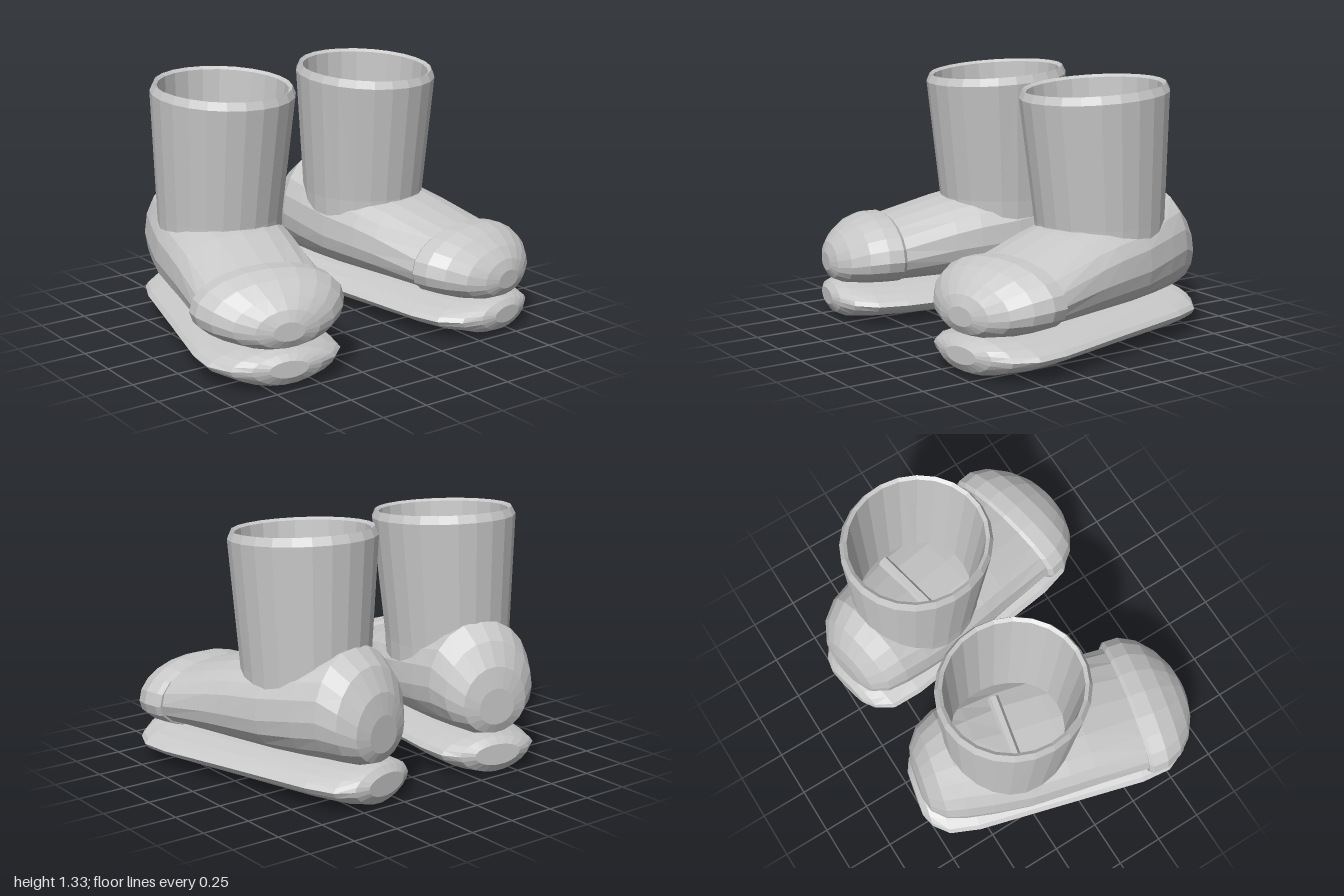
import * as THREE from 'three';

const SIDES = 20;
const TURN = 0.21; // each foot toes outwards

// Loft through cross-sections [z, halfWidth, bottom, top, squareness]
function loft(sections, midRatio = 0.45) {
  const pos = [], idx = [];
  const bend = (v, n) => Math.sign(v) * Math.pow(Math.abs(v), 2 / n);
  sections.forEach(([z, w, y0, y1, n]) => {
    const mid = y0 + (y1 - y0) * midRatio;
    for (let j = 0; j < SIDES; j++) {
      const a = (j / SIDES) * Math.PI * 2;
      const s = Math.sin(a), e = s > 0 ? n : Math.min(n, 2.2);
      pos.push(w * bend(Math.cos(a), e), mid + bend(s, e) * (s > 0 ? y1 - mid : mid - y0), z);
    }
  });
  const last = sections.length - 1;
  for (let i = 0; i < last; i++) {
    for (let j = 0; j < SIDES; j++) {
      const k = (j + 1) % SIDES, a = i * SIDES, b = a + SIDES;
      idx.push(a + j, a + k, b + j, a + k, b + k, b + j);
    }
  }
  // Close both ends
  for (let j = 1; j < SIDES - 1; j++) {
    const b = last * SIDES;
    idx.push(0, j + 1, j, b, b + j, b + j + 1);
  }
  const g = new THREE.BufferGeometry();
  g.setAttribute('position', new THREE.Float32BufferAttribute(pos, 3));
  g.setIndex(idx);
  g.computeVertexNormals();
  return g;
}

// Slightly oval, flared tube with a bevelled rim that rises to the back
function shaftGeometry() {
  const profile = [[0.315, 0.5], [0.32, 0.62], [0.366, 1.262], [0.348, 1.303], [0.33, 1.29], [0.275, 0.58]]
    .map(([r, y]) => new THREE.Vector2(r, y));
  const g = new THREE.LatheGeometry(profile, 24);
  const p = g.attributes.position;
  for (let i = 0; i < p.count; i++) {
    const k = Math.max(0, (p.getY(i) - 0.6) / 0.7);
    const z = p.getZ(i) * 1.055;
    p.setXYZ(i, p.getX(i) + 0.46 - 0.012 * k, p.getY(i) - z * 0.065 * k, z - 0.22 + 0.033 * k);
  }
  g.computeVertexNormals();
  return g;
}

export function createModel() {
  const grey = new THREE.MeshStandardMaterial({ color: 0xc8c8c8, flatShading: true, side: THREE.DoubleSide });
  grey.name = 'light grey';

  const part = (name, geometry, parent) => {
    const m = new THREE.Mesh(geometry, grey);
    m.name = name;
    parent.add(m);
    return m;
  };

  // Thin-edged sole
  const sole = loft([
    [-0.765, 0.13, 0.06, 0.17, 2],
    [-0.735, 0.2, 0.015, 0.205, 1.8],
    [-0.66, 0.27, 0, 0.212, 1.6],
    [-0.5, 0.305, 0, 0.212, 1.6],
    [0, 0.335, 0, 0.208, 1.6],
    [0.42, 0.36, 0, 0.2, 1.6],
    [0.58, 0.345, 0, 0.2, 1.6],
    [0.69, 0.27, 0.005, 0.198, 1.7],
    [0.745, 0.18, 0.03, 0.185, 1.9],
    [0.77, 0.1, 0.07, 0.155, 2],
  ], 0.55);

  // Foot with a domed heel
  const foot = loft([
    [-0.745, 0.1, 0.27, 0.46, 2],
    [-0.725, 0.18, 0.22, 0.57, 2],
    [-0.66, 0.255, 0.2, 0.69, 2],
    [-0.56, 0.295, 0.195, 0.77, 2.1],
    [-0.42, 0.32, 0.195, 0.73, 2.3],
    [-0.22, 0.345, 0.195, 0.665, 2.7],
    [0, 0.35, 0.195, 0.635, 2.6],
    [0.14, 0.35, 0.195, 0.61, 2.4],
    [0.46, 0.355, 0.195, 0.525, 2.1],
  ]);

  // Rounded toe cap with a raised back edge
  const cap = loft([
    [0.43, 0.368, 0.19, 0.532, 2.1],
    [0.45, 0.388, 0.19, 0.546, 2.1],
    [0.53, 0.385, 0.19, 0.545, 2.1],
    [0.62, 0.34, 0.19, 0.515, 2.1],
    [0.7, 0.26, 0.195, 0.46, 2],
    [0.75, 0.165, 0.215, 0.405, 2],
    [0.772, 0.08, 0.255, 0.35, 2],
  ]);

  const shaft = shaftGeometry();
  const strap = new THREE.CylinderGeometry(0.03, 0.03, 0.42, 6).rotateZ(Math.PI / 2);

  const makeBoot = (name, mirror) => {
    const boot = new THREE.Group();
    boot.name = name;
    const lower = new THREE.Group();
    lower.name = 'lowerBoot';
    lower.position.x = 0.52;
    lower.rotation.y = TURN;
    boot.add(lower);
    part('sole', sole, lower);
    part('foot', foot, lower);
    part('toeCap', cap, lower);
    part('innerStrap', strap, lower).position.set(0.01, 0.675, -0.245);
    part('shaft', shaft, boot);
    boot.scale.x = mirror;
    return boot;
  };

  const group = new THREE.Group();
  group.name = 'pairOfBoots';
  group.add(makeBoot('leftBoot', 1), makeBoot('rightBoot', -1));
  return group;
}
